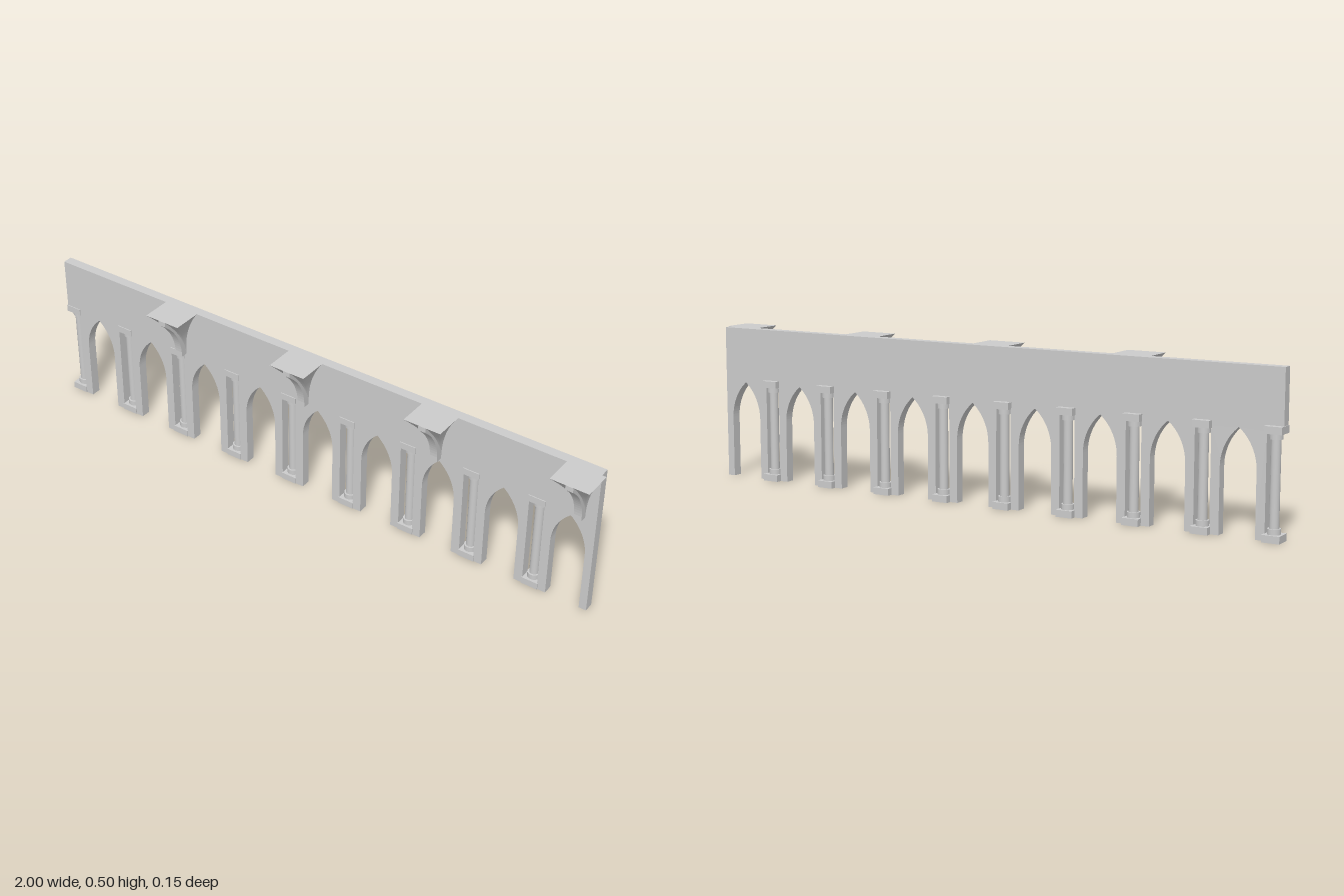
import * as THREE from 'three';

const material = new THREE.MeshStandardMaterial({ color: 0xcccccc });

const SPACING = 0.221, FIRST_PIER = -0.9745, PIERS = 9;
const TOP = 0.5, RIGHT_END = 0.985;
const WALL_BACK = -0.055, WALL_FRONT = -0.023;
const PIER_HALF = 0.054, SLOT_HALF = 0.0255;
const SPRING = 0.2, APEX = 0.32, CORBEL_BASE = 0.333;

function add(parent, name, geometry, x = 0, y = 0, z = 0) {
  const mesh = new THREE.Mesh(geometry, material);
  mesh.name = name;
  mesh.position.set(x, y, z);
  parent.add(mesh);
  return mesh;
}

// Arcade wall: pointed arches cut into the lower edge, a slot in each pier
function wallGeometry() {
  const shape = new THREE.Shape();
  const firstSlot = FIRST_PIER + SLOT_HALF;
  shape.moveTo(-1, TOP);
  shape.lineTo(-1, 0.315);
  shape.lineTo(firstSlot, 0.315);
  shape.lineTo(firstSlot, 0);
  for (let i = 0; i < PIERS; i++) {
    const a = FIRST_PIER + i * SPACING + PIER_HALF;
    const b = FIRST_PIER + (i + 1) * SPACING - PIER_HALF;
    const w = (b - a) / 2, h = APEX - SPRING;
    const r = (h * h + w * w) / (2 * w);
    const angle = Math.atan2(h, r - w);
    shape.lineTo(a, 0);
    shape.lineTo(a, SPRING);
    shape.absarc(a + r, SPRING, r, Math.PI, Math.PI - angle, true);
    shape.absarc(b - r, SPRING, r, angle, 0, true);
    shape.lineTo(b, 0);
  }
  shape.lineTo(RIGHT_END, 0);
  shape.lineTo(RIGHT_END, TOP);
  for (let i = 1; i < PIERS; i++) {
    const x = FIRST_PIER + i * SPACING;
    const slot = new THREE.Path();
    slot.moveTo(x - SLOT_HALF, 0.015);
    slot.lineTo(x - SLOT_HALF, 0.315);
    slot.lineTo(x + SLOT_HALF, 0.315);
    slot.lineTo(x + SLOT_HALF, 0.015);
    shape.holes.push(slot);
  }
  return new THREE.ExtrudeGeometry(shape, {
    depth: WALL_FRONT - WALL_BACK, bevelEnabled: false, curveSegments: 8,
  });
}

// Small column with square base and capital and a round ring at each end
function createColumn() {
  const column = new THREE.Group();
  column.name = 'column';
  const block = new THREE.BoxGeometry(0.055, 0.022, 0.055);
  const ring = new THREE.CylinderGeometry(0.02, 0.02, 0.017, 16);
  add(column, 'base', block, 0, 0.011, 0);
  add(column, 'baseRing', ring, 0, 0.03, 0);
  add(column, 'shaft', new THREE.CylinderGeometry(0.0145, 0.0145, 0.27, 16), 0, 0.166, 0);
  add(column, 'capitalRing', ring, 0, 0.303, 0);
  add(column, 'capital', block, 0, 0.322, 0);
  return column;
}

// Flared vault springer: a box widening sideways and forwards as it rises
function flareGeometry() {
  const geometry = new THREE.BoxGeometry(1, 1, 1, 1, 14, 1);
  const p = geometry.attributes.position;
  for (let i = 0; i < p.count; i++) {
    const t = p.getY(i) + 0.5;
    const half = 0.0125 + 0.05 * t ** 2.5;
    const front = WALL_FRONT + 0.001 + 0.097 * t ** 1.7;
    p.setXYZ(i, Math.sign(p.getX(i)) * half, CORBEL_BASE + t * (TOP - CORBEL_BASE),
      p.getZ(i) > 0 ? front : WALL_FRONT);
  }
  geometry.computeVertexNormals();
  return geometry;
}

// Curved rib under the flare, drawn in the side plane and extruded across
function ribGeometry() {
  const side = new THREE.Shape();
  side.moveTo(WALL_FRONT, CORBEL_BASE);
  side.lineTo(0, CORBEL_BASE);
  side.lineTo(0, 0.35);
  side.quadraticCurveTo(0.005, 0.425, 0.075, 0.484);
  side.lineTo(0.075, TOP);
  side.lineTo(WALL_FRONT, TOP);
  const geometry = new THREE.ExtrudeGeometry(side, {
    depth: 0.025, bevelEnabled: false, curveSegments: 14,
  });
  geometry.translate(0, 0, -0.0125);
  geometry.rotateY(-Math.PI / 2);
  return geometry;
}

export function createModel() {
  const model = new THREE.Group();
  model.name = 'arcadeWall';

  add(model, 'wall', wallGeometry(), 0, 0, WALL_BACK);

  // Columns, one per pier
  for (let i = 0; i < PIERS; i++) {
    const column = createColumn();
    column.position.set(FIRST_PIER + i * SPACING, 0, -0.0475);
    model.add(column);
  }

  // Corbels along the front
  const flare = flareGeometry(), rib = ribGeometry();
  for (let i = 0; i < 4; i++) {
    const corbel = new THREE.Group();
    corbel.name = 'corbel';
    corbel.position.x = -0.508 + i * 0.4813;
    add(corbel, 'flare', flare);
    // The rib tops out just under the flare's flat top
    add(corbel, 'rib', rib, 0, -0.0005, 0);
    model.add(corbel);
  }
  return model;
}
